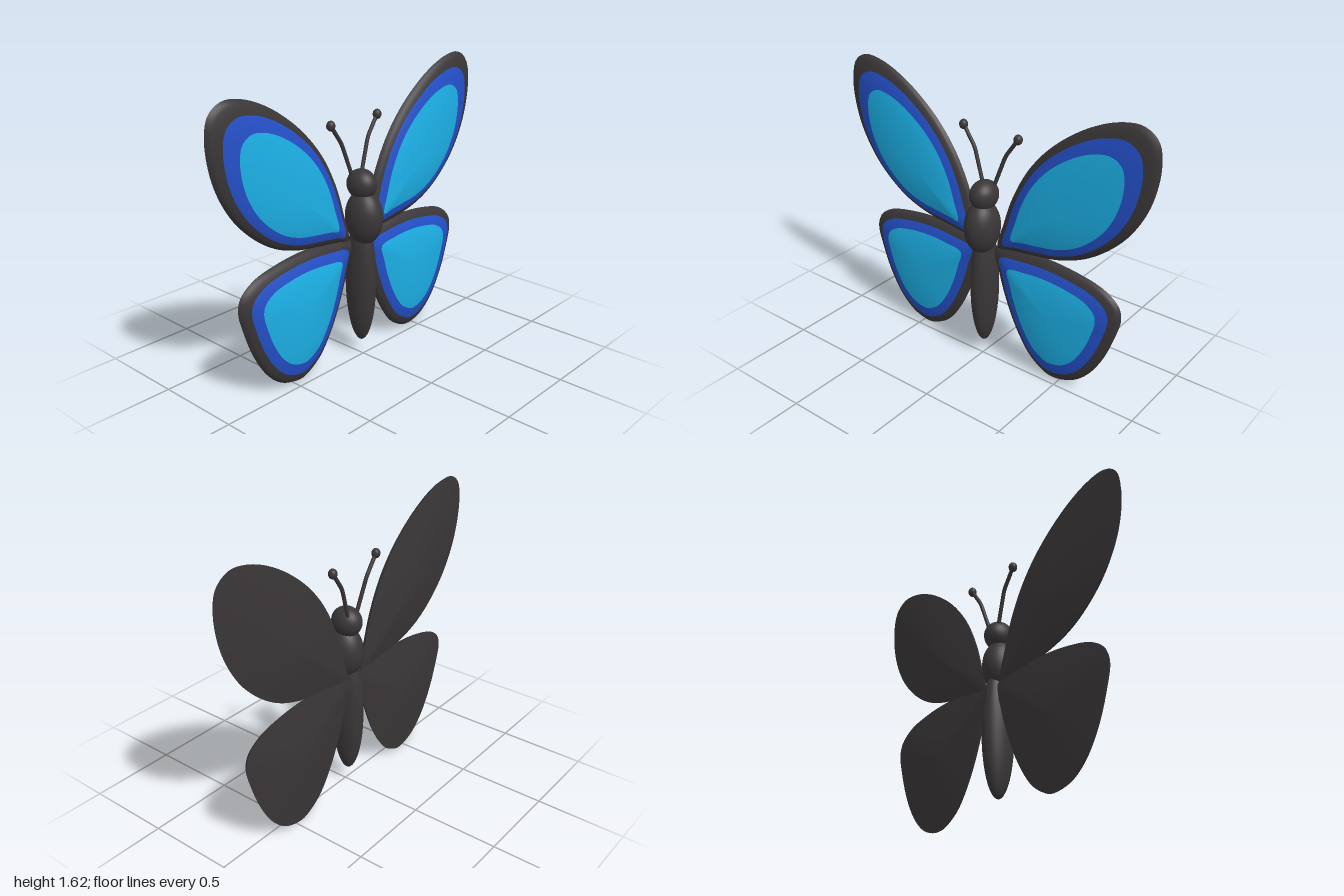
import * as THREE from 'three';

const EDGE_Z = -0.06;
const mat = (color, roughness = 0.6) => {
  const m = new THREE.MeshStandardMaterial({ color });
  m.roughness = roughness;
  return m;
};
const dark = mat(0x3a3637);
const blue = mat(0x2450c8);
const cyan = mat(0x1cb0e6);

// Wing outlines (left side) from the root around the tip, with the dome centre
const foreWing = {
  centre: [0.47, 1.05], front: 0.075, back: 0.034,
  outline: [[0.06, 0.7], [0.1, 0.87], [0.16, 1.05], [0.26, 1.235], [0.4, 1.395], [0.6, 1.54], [0.77, 1.61],
    [0.89, 1.618], [0.97, 1.565], [0.997, 1.45], [0.965, 1.24], [0.87, 1.05], [0.74, 0.91], [0.6, 0.815],
    [0.45, 0.76], [0.3, 0.735], [0.15, 0.715]],
};
const hindWing = {
  centre: [0.45, 0.42], front: 0.078, back: 0.032,
  outline: [[0.04, 0.7], [0.2, 0.735], [0.4, 0.745], [0.6, 0.725], [0.75, 0.685], [0.835, 0.62], [0.855, 0.55],
    [0.825, 0.42], [0.76, 0.25], [0.67, 0.11], [0.57, 0.03], [0.45, 0.003], [0.385, 0.025], [0.3, 0.085],
    [0.2, 0.23], [0.12, 0.41], [0.07, 0.57]],
};

// Surface between two scaled copies of the outline, raised by a height rule
function wingBand(points, centre, s0, s1, rings, height, flip) {
  const pos = [], index = [], n = points.length;
  for (let r = 0; r <= rings; r++) {
    const s = s0 + (s1 - s0) * r / rings;
    for (const p of points) {
      pos.push(centre.x + (p.x - centre.x) * s, centre.y + (p.y - centre.y) * s, EDGE_Z + height(s));
    }
  }
  for (let r = 0; r < rings; r++) for (let i = 0; i < n; i++) {
    const a = r * n + i, b = r * n + (i + 1) % n, c = a + n, d = b + n;
    if (flip) index.push(a, c, b, b, c, d);
    else index.push(a, b, c, b, d, c);
  }
  const g = new THREE.BufferGeometry();
  g.setAttribute('position', new THREE.Float32BufferAttribute(pos, 3));
  g.setIndex(index);
  g.computeVertexNormals();
  return g;
}

function makeWing(spec, side, name) {
  const wing = new THREE.Group();
  wing.name = name;
  const curve = new THREE.CatmullRomCurve3(
    spec.outline.map(([x, y]) => new THREE.Vector3(x * side, y, 0)), true, 'centripetal');
  const points = curve.getSpacedPoints(110).slice(0, -1);
  if (side > 0) points.reverse(); // counter-clockwise from the front
  const centre = new THREE.Vector2(spec.centre[0] * side, spec.centre[1]);
  const domeFront = s => spec.front * Math.sqrt(Math.max(0, 1 - s * s));
  const domeBack = s => -spec.back * (1 - Math.pow(s, 1.5));
  const bands = [
    ['border', dark, 1, 0.86, 6, domeFront, false],
    ['middleBand', blue, 0.86, 0.7, 5, domeFront, false],
    ['innerPanel', cyan, 0.7, 0.001, 14, domeFront, false],
    ['backSurface', dark, 1, 0.001, 18, domeBack, true],
  ];
  for (const [part, material, s0, s1, rings, height, flip] of bands) {
    const mesh = new THREE.Mesh(wingBand(points, centre, s0, s1, rings, height, flip), material);
    mesh.name = part;
    wing.add(mesh);
  }
  return wing;
}

function ellipsoid(name, centre, radii) {
  const mesh = new THREE.Mesh(new THREE.SphereGeometry(1, 40, 28), dark);
  mesh.name = name;
  mesh.position.set(...centre);
  mesh.scale.set(...radii);
  return mesh;
}

// Bent stalk with a round club at the end
function makeAntenna(side, name) {
  const antenna = new THREE.Group();
  antenna.name = name;
  const [a, b, c] = [[0.03, 1.05, -0.045], [0.103, 1.26, -0.06], [0.18, 1.37, -0.062]]
    .map(([x, y, z]) => new THREE.Vector3(x * side, y, z));
  const path = new THREE.CurvePath();
  const before = b.clone().lerp(a, 0.12), after = b.clone().lerp(c, 0.2);
  path.add(new THREE.LineCurve3(a, before));
  path.add(new THREE.QuadraticBezierCurve3(before, b, after));
  path.add(new THREE.LineCurve3(after, c));
  const stalk = new THREE.Mesh(new THREE.TubeGeometry(path, 40, 0.011, 12), dark);
  stalk.name = 'stalk';
  antenna.add(stalk, ellipsoid('club', c.toArray(), [0.024, 0.028, 0.024]));
  return antenna;
}

export function createModel() {
  const model = new THREE.Group();
  model.name = 'butterfly';

  // Body
  model.add(
    ellipsoid('head', [0, 1.025, -0.01], [0.075, 0.085, 0.09]),
    ellipsoid('thorax', [0, 0.84, 0.006], [0.095, 0.155, 0.113]),
    ellipsoid('abdomen', [0, 0.465, -0.0175], [0.07, 0.375, 0.0975]),
  );

  // Mirrored wings and antennae
  for (const [side, label] of [[1, 'left'], [-1, 'right']]) {
    model.add(
      makeWing(foreWing, side, label + 'ForeWing'),
      makeWing(hindWing, side, label + 'HindWing'),
      makeAntenna(side, label + 'Antenna'),
    );
  }
  return model;
}
